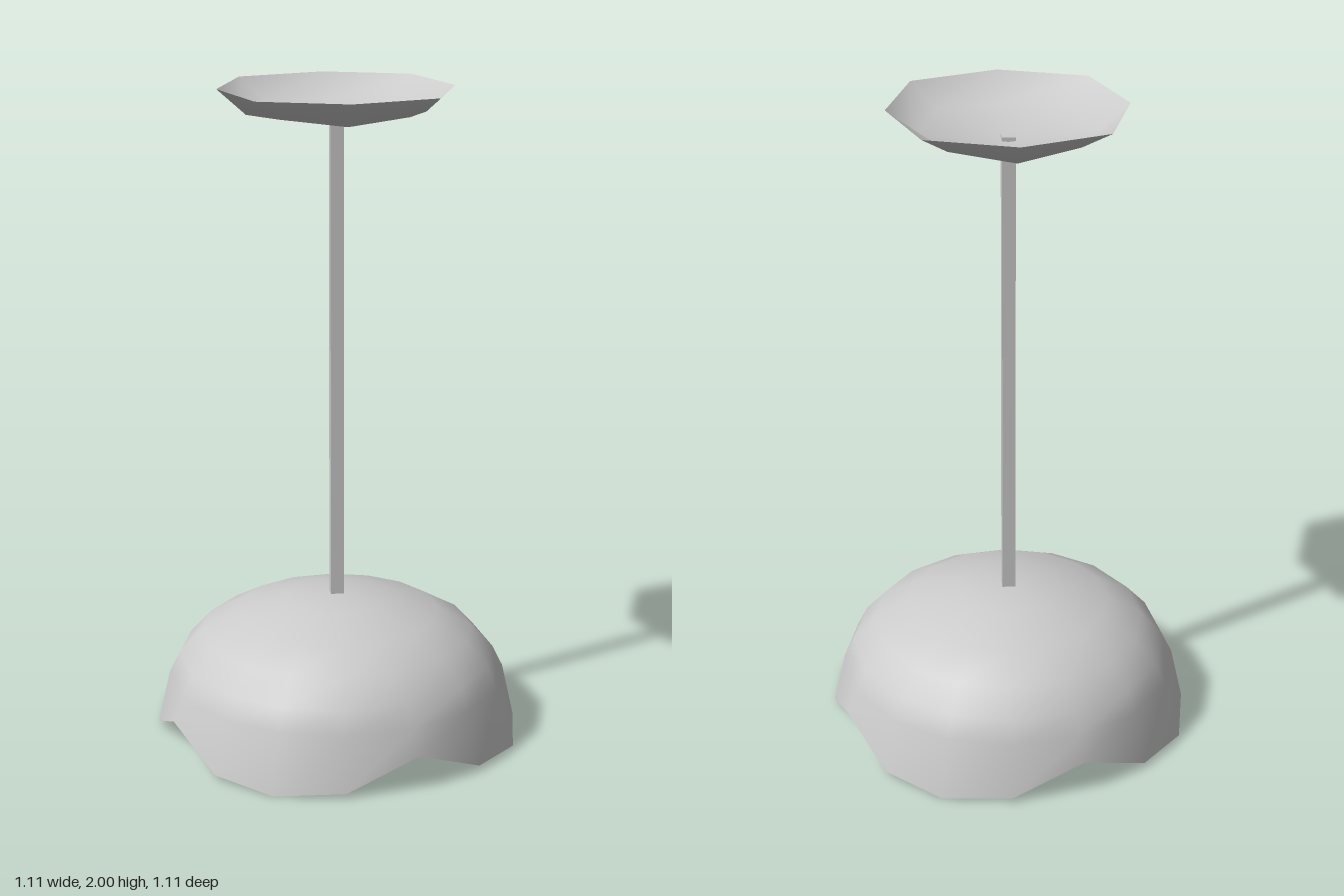
import * as THREE from 'three';

const material = new THREE.MeshStandardMaterial({ color: 0xcccccc, side: THREE.DoubleSide });

// One ring point: angle in degrees from +x towards +z
function ringPoint(angle, radius, y) {
  const a = THREE.MathUtils.degToRad(angle);
  return [radius * Math.cos(a), y, radius * Math.sin(a)];
}

// Thin open shell joining rings of points from rim to a closing apex
function shell(name, rings, apexY) {
  const n = rings[0].length;
  const index = [];
  rings.forEach((ring, r) => {
    for (let i = 0; i < n; i++) {
      const a = r * n + i;
      const b = r * n + (i + 1) % n;
      if (r < rings.length - 1) index.push(a, a + n, b, b, a + n, b + n);
      else index.push(a, rings.length * n, b);
    }
  });
  const geometry = new THREE.BufferGeometry();
  geometry.setAttribute('position',
    new THREE.Float32BufferAttribute([...rings.flat(2), 0, apexY, 0], 3));
  geometry.setIndex(index);
  geometry.computeVertexNormals();
  const mesh = new THREE.Mesh(geometry, material);
  mesh.name = name;
  return mesh;
}

// Shade: rounded dome whose wavy rim repeats four times, with one notch per quarter
function createShade() {
  const rim = [[4.1, 0.557, 0.02], [25.9, 0.572, 0.005], [47.2, 0.56, 0.02], [70.9, 0.55, 0.11]];
  const profile = [[0.52, 0.185], [0.488, 0.25], [0.42, 0.325], [0.315, 0.383], [0.16, 0.428]];
  const points = [];
  for (let q = 0; q < 4; q++) {
    for (const [angle, radius, y] of rim) points.push([angle + q * 90, radius, y]);
  }
  const rings = [points.map(p => ringPoint(...p))];
  for (const [radius, y] of profile) rings.push(points.map(([angle]) => ringPoint(angle, radius, y)));
  return shell('lampShade', rings, 0.442);
}

// Ceiling canopy: shallow eight-sided dish, open at the top
function createCanopy() {
  const rim = [];
  const inner = [];
  for (let i = 0; i < 8; i++) {
    const corner = i % 2;
    rim.push(ringPoint(i * 45, corner ? 0.372 : 0.35, 2));
    inner.push(ringPoint(i * 45, 0.265, corner ? 1.937 : 1.924));
  }
  return shell('ceilingCanopy', [rim, inner], 1.9);
}

export function createModel() {
  const model = new THREE.Group();
  model.name = 'pendantLamp';

  // Square rod, its end poking slightly through the canopy
  const bottom = 0.43;
  const top = 1.915;
  const rod = new THREE.Mesh(new THREE.BoxGeometry(0.04, top - bottom, 0.04), material);
  rod.position.y = (top + bottom) / 2;
  rod.name = 'hangingRod';

  model.add(createShade(), rod, createCanopy());
  return model;
}
